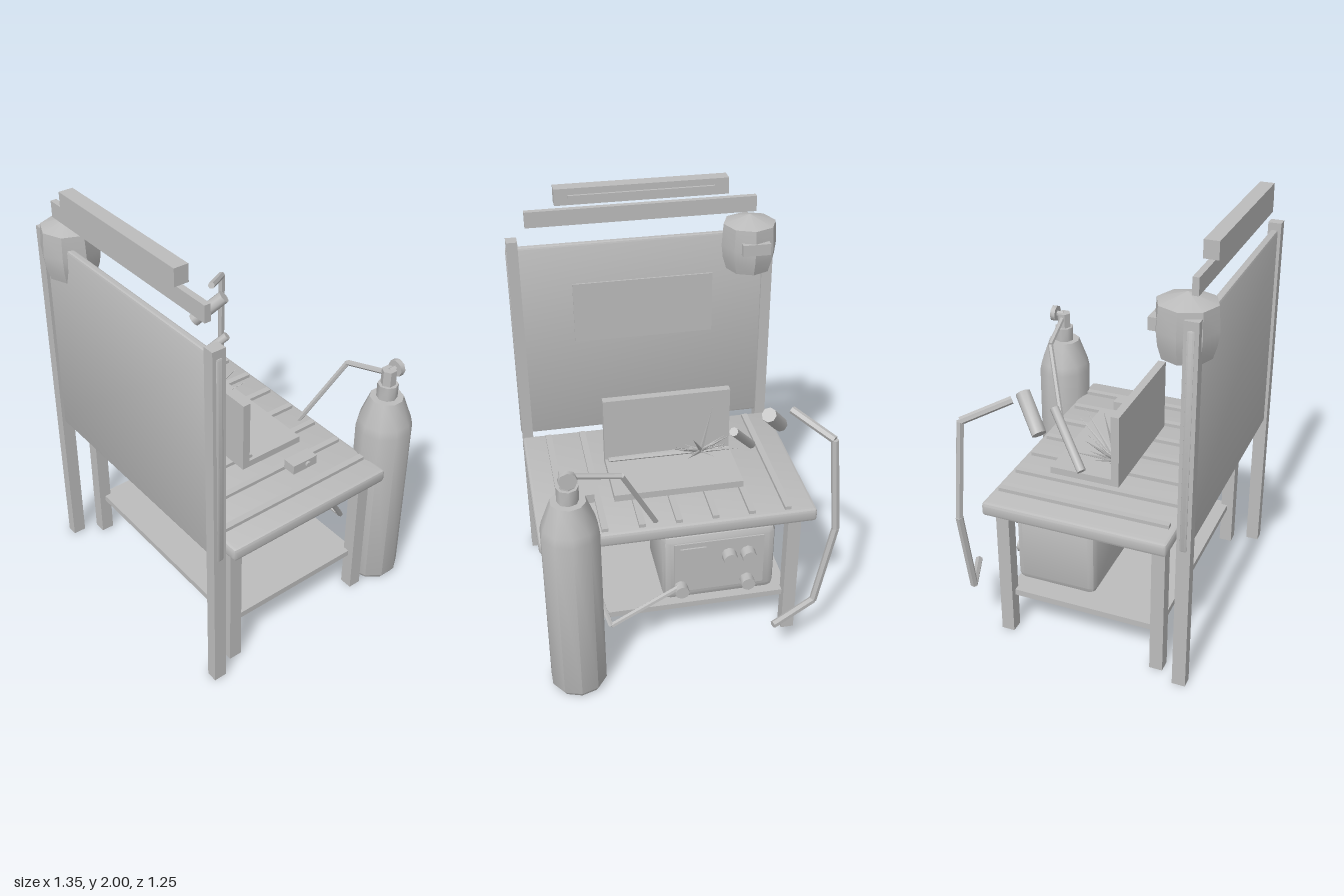
import * as THREE from 'three';
import { toCreasedNormals } from 'three/addons/utils/BufferGeometryUtils.js';
import { RoundedBoxGeometry } from 'three/addons/geometries/RoundedBoxGeometry.js';

const V = (x, y, z) => new THREE.Vector3(x, y, z);

export function createModel() {
  const model = new THREE.Group();
  model.name = 'weldingBench';
  const grey = new THREE.MeshStandardMaterial({ color: 0xbcbcbc });
  grey.name = 'workshop grey';

  const add = (name, geo, parent = model) => {
    const m = new THREE.Mesh(geo, grey);
    m.name = name;
    parent.add(m);
    return m;
  };
  const group = (name) => {
    const g = new THREE.Group();
    g.name = name;
    model.add(g);
    return g;
  };
  // Box given by its limits on each axis; bevel rounds the edges
  const box = (name, x0, x1, y0, y1, z0, z1, parent, bevel = 0) => {
    const s = [x1 - x0, y1 - y0, z1 - z0];
    const geo = bevel
      ? toCreasedNormals(new RoundedBoxGeometry(...s, 1, bevel), 0.5)
      : new THREE.BoxGeometry(...s);
    const m = add(name, geo, parent);
    m.position.set((x0 + x1) / 2, (y0 + y1) / 2, (z0 + z1) / 2);
    return m;
  };
  // Rod from a to b, with radius ra at a and rb at b
  const rod = (name, a, b, ra, rb, sides, parent) => {
    const d = b.clone().sub(a);
    const geo = new THREE.CylinderGeometry(rb, ra, d.length(), sides);
    const m = add(name, toCreasedNormals(geo, 0.9), parent);
    m.position.copy(a).add(b).multiplyScalar(0.5);
    m.quaternion.setFromUnitVectors(V(0, 1, 0), d.normalize());
    return m;
  };
  const hose = (name, pts, r) => {
    const g = group(name);
    for (let i = 1; i < pts.length; i++) rod('hoseSection', pts[i - 1], pts[i], r, r, 6, g);
  };
  const lathe = (name, pts, sides, crease, parent) => add(name, toCreasedNormals(
    new THREE.LatheGeometry(pts.map((p) => new THREE.Vector2(...p)), sides), crease), parent);

  // Table: top, slats, legs and lower shelf
  const table = group('table');
  box('tableTop', -0.605, 0.67, 0.67, 0.735, -0.393, 0.477, table, 0.015);
  for (let i = 0; i < 7; i++) {
    const x = -0.471 + i * 0.1685;
    box('slat', x - 0.015, x + 0.015, 0.73, 0.752, -0.365, 0.445, table);
  }
  for (const x of [-0.51, 0.577])
    for (const z of [-0.325, 0.42])
      box('leg', x - 0.031, x + 0.031, 0, 0.675, z - 0.031, z + 0.031, table);
  box('shelf', -0.51, 0.577, 0.19, 0.22, -0.325, 0.42, table);

  // Screen at the front with its posts, viewing pane and light
  const screen = group('screen');
  box('screenPanel', -0.605, 0.67, 0.72, 1.725, 0.53, 0.565, screen, 0.01);
  for (const x of [-0.575, 0.639]) box('post', x - 0.026, x + 0.026, 0, 1.76, 0.518, 0.58, screen);
  box('viewingPane', -0.305, 0.372, 1.22, 1.525, 0.522, 0.531, screen);
  box('lowerBar', -0.51, 0.574, 1.825, 1.9, 0.517, 0.545, screen);
  box('lampBar', -0.372, 0.435, 1.923, 2, 0.512, 0.577, screen);
  box('lampStrip', -0.305, 0.372, 1.935, 1.97, 0.5, 0.513, screen);

  // Welding helmet hung on the left post
  const helmet = group('helmet');
  const shell = [[0, 1.56], [0.108, 1.56], [0.126, 1.62], [0.133, 1.68], [0.126, 1.785], [0, 1.825]];
  lathe('helmetShell', shell, 8, 0.4, helmet).position.set(-0.472, 0, 0.491);
  box('visor', -0.542, -0.41, 1.67, 1.725, 0.355, 0.4, helmet);

  // Work piece: two plates with a bead in the corner
  const work = group('workPiece');
  box('basePlate', -0.303, 0.302, 0.765, 0.798, -0.192, 0.143, work);
  box('uprightPlate', -0.303, 0.302, 0.775, 1.117, 0.105, 0.143, work);
  rod('weldBead', V(-0.14, 0.805, 0.088), V(0.287, 0.805, 0.088), 0.016, 0.012, 6, work);

  // Sparks fan up and back from the weld
  const sparks = group('sparks');
  let seed = 11;
  const rnd = () => (seed = (seed * 16807) % 2147483647) / 2147483647;
  const origin = V(-0.16, 0.81, 0.075);
  const spark = (tip, r) => rod('spark', origin, tip, r, 0.0005, 5, sparks);
  [[-0.05, 0.93, -0.15], [-0.3, 0.9, -0.07], [0, 0.9, -0.02], [-0.08, 1.0, -0.11], [-0.2, 1.075, 0.03],
    [-0.27, 0.95, -0.03]].forEach((p) => spark(V(...p), 0.011));
  for (let i = 0; i < 14; i++) {
    const a = (i / 13) * Math.PI;
    const l = 0.08 + rnd() * 0.09;
    spark(origin.clone().add(V(Math.cos(a) * l, (0.2 + rnd() * 0.8) * l, -Math.sin(a) * l)), 0.008);
  }

  // Torch with its cable
  const torch = group('torch');
  rod('torchHandle', V(-0.382, 1.2, -0.275), V(-0.474, 1.065, -0.157), 0.034, 0.034, 8, torch);
  rod('torchNeck', V(-0.248, 1.075, -0.19), V(-0.387, 0.865, 0), 0.021, 0.021, 8, torch);
  hose('torchCable', [V(-0.485, 1.215, -0.275), V(-0.63, 1.15, -0.45), V(-0.665, 0.68, -0.47),
    V(-0.59, 0.26, -0.465), V(-0.37, 0.225, -0.56)], 0.018);

  // Clamp block on the table
  const clamp = group('clamp');
  box('clampBlock', 0.39, 0.456, 0.752, 0.798, -0.162, -0.026, clamp);
  rod('clampKnob', V(0.45, 0.777, -0.107), V(0.467, 0.777, -0.107), 0.014, 0.014, 8, clamp);

  // Power unit below the table, its controls facing the back
  const unit = group('powerUnit');
  box('unitCase', -0.44, 0.1, 0.235, 0.61, -0.315, 0.08, unit, 0.035);
  box('controlPanel', -0.38, 0.05, 0.29, 0.57, -0.322, -0.31, unit);
  box('display', -0.1, 0.022, 0.465, 0.545, -0.33, -0.32, unit);
  for (const x of [-0.21, -0.3])
    rod('dial', V(x, 0.482, -0.315), V(x, 0.482, -0.372), 0.036, 0.034, 10, unit);
  for (const x of [0.02, -0.3])
    rod('socket', V(x, 0.32, -0.315), V(x, 0.32, -0.37), 0.034, 0.034, 8, unit);
  const grip = [V(-0.345, 0.6, -0.115), V(-0.335, 0.65, -0.115), V(0, 0.65, -0.115), V(0.015, 0.6, -0.115)];
  for (let i = 1; i < 4; i++) rod('handle', grip[i - 1], grip[i], 0.012, 0.012, 6, unit);

  // Gas bottle with neck, valve and hand wheel
  const bottle = group('gasBottle');
  bottle.position.set(0.538, 0, -0.496);
  lathe('bottleBody', [[0, 0], [0.115, 0], [0.131, 0.025], [0.131, 0.87], [0.122, 0.91], [0.078, 1.03],
    [0, 1.03]], 10, 0.68, bottle);
  rod('bottleNeck', V(0, 1.025, 0), V(0, 1.1, 0), 0.048, 0.048, 8, bottle);
  rod('valve', V(0, 1.1, 0), V(0, 1.175, 0), 0.035, 0.035, 6, bottle);
  rod('valveStem', V(0, 1.165, 0), V(0, 1.165, -0.045), 0.015, 0.015, 6, bottle);
  rod('handWheel', V(0, 1.165, -0.035), V(0, 1.165, -0.06), 0.041, 0.041, 8, bottle);

  // Gas hoses
  hose('upperHose', [V(0.52, 1.15, -0.496), V(0.305, 1.1, -0.465), V(0.1, 0.65, -0.3)], 0.013);
  hose('lowerHose', [V(0.02, 0.34, -0.34), V(0.37, 0.235, -0.43), V(0.505, 0.62, -0.165),
    V(0.46, 0.67, -0.11)], 0.013);

  return model;
}
